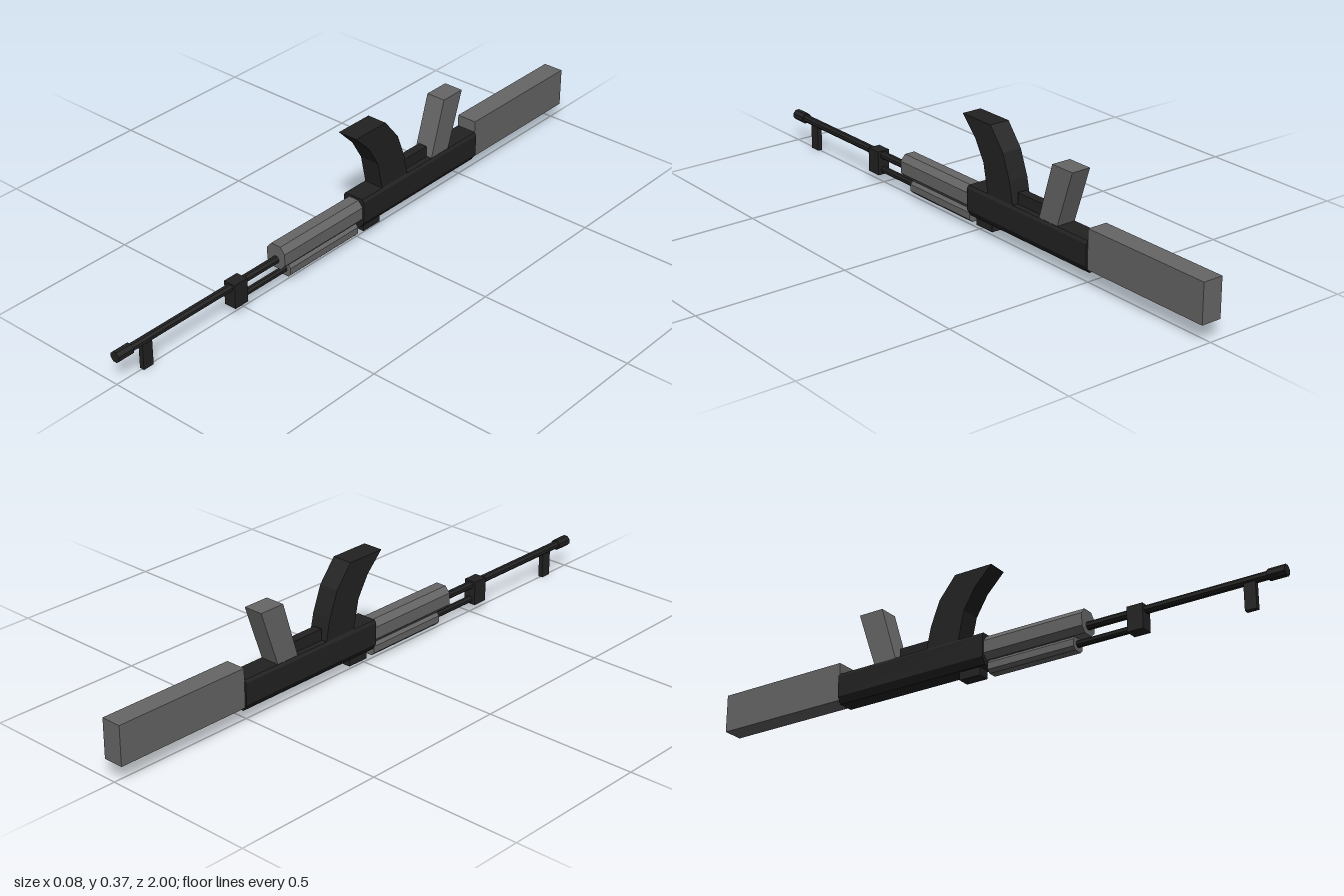
import * as THREE from 'three';

export function createModel() {
  const group = new THREE.Group();
  group.name = 'invertedRifle';

  const material = (name, color) => {
    const m = new THREE.MeshStandardMaterial({ color });
    m.name = name;
    return m;
  };
  const black = material('blackMetal', 0x222222);
  const grey = material('greyFurniture', 0x666666);

  const add = (name, geometry, mat) => {
    const flat = geometry.index ? geometry.toNonIndexed() : geometry;
    flat.computeVertexNormals();
    const mesh = new THREE.Mesh(flat, mat);
    mesh.name = name;
    group.add(mesh);
    return mesh;
  };

  // Box given by its width, centred on x, and its y and z ranges
  const box = (name, w, y0, y1, z0, z1, mat) =>
    add(name, new THREE.BoxGeometry(w, y1 - y0, z1 - z0)
      .translate(0, (y0 + y1) / 2, (z0 + z1) / 2), mat);

  // Rod along z
  const rod = (name, r, y, z0, z1, sides, mat) =>
    add(name, new THREE.CylinderGeometry(r, r, z1 - z0, sides)
      .rotateY(Math.PI / sides).rotateX(Math.PI / 2)
      .translate(0, y, (z0 + z1) / 2), mat);

  const extrude = (points, depth) => new THREE.ExtrudeGeometry(
    new THREE.Shape(points.map(([a, b]) => new THREE.Vector2(a, b))),
    { depth, bevelEnabled: false });

  // Symmetric cross-section (right half, bottom to top) drawn out along z
  const bar = (name, half, z0, z1, mat) => {
    const mirrored = half.map(([x, y]) => [-x, y]).reverse();
    return add(name, extrude([...half, ...mirrored], z1 - z0).translate(0, 0, z0), mat);
  };

  // Side profile of [z, y] points, given a width across x
  const plate = (name, points, w, mat) =>
    add(name, extrude(points, w).translate(0, 0, -w / 2).rotateY(-Math.PI / 2), mat);

  // Barrel, muzzle and front sight
  rod('barrel', 0.013, 0.092, 0.3, 0.96, 8, black);
  rod('muzzle', 0.018, 0.092, 0.945, 1, 8, black);
  box('frontSight', 0.016, 0, 0.092, 0.868, 0.905, black);

  // Gas block and gas tube
  box('gasBlock', 0.042, 0.027, 0.107, 0.5, 0.553, black);
  rod('gasTube', 0.011, 0.043, 0.3, 0.51, 8, black);

  // Handguards with chamfered sides
  bar('mainHandguard',
    [[0.018, 0.064], [0.035, 0.082], [0.035, 0.122], [0.018, 0.142]], 0, 0.358, grey);
  bar('gasTubeHandguard',
    [[0.014, 0.02], [0.024, 0.03], [0.024, 0.052], [0.016, 0.062]], 0.02, 0.322, grey);

  // Receiver and its fittings
  bar('receiver',
    [[0.026, 0.048], [0.04, 0.07], [0.04, 0.14], [0.034, 0.149]], -0.535, 0.012, black);
  box('rearSight', 0.04, 0.022, 0.06, -0.085, -0.01, black);
  box('triggerGuard', 0.03, 0.14, 0.186, -0.315, -0.2, black);

  // Curved magazine
  plate('magazine', [
    [-0.08, 0.135], [-0.08, 0.152], [-0.06, 0.243], [-0.02, 0.31], [0.04, 0.371],
    [-0.094, 0.371], [-0.152, 0.3], [-0.183, 0.22], [-0.198, 0.152], [-0.198, 0.135],
  ], 0.068, black);

  // Slanted grip
  plate('grip', [
    [-0.314, 0.135], [-0.374, 0.332], [-0.462, 0.332], [-0.426, 0.225], [-0.395, 0.135],
  ], 0.066, grey);

  // Shoulder stock
  box('stock', 0.068, 0.06, 0.187, -1, -0.535, grey);

  return group;
}
